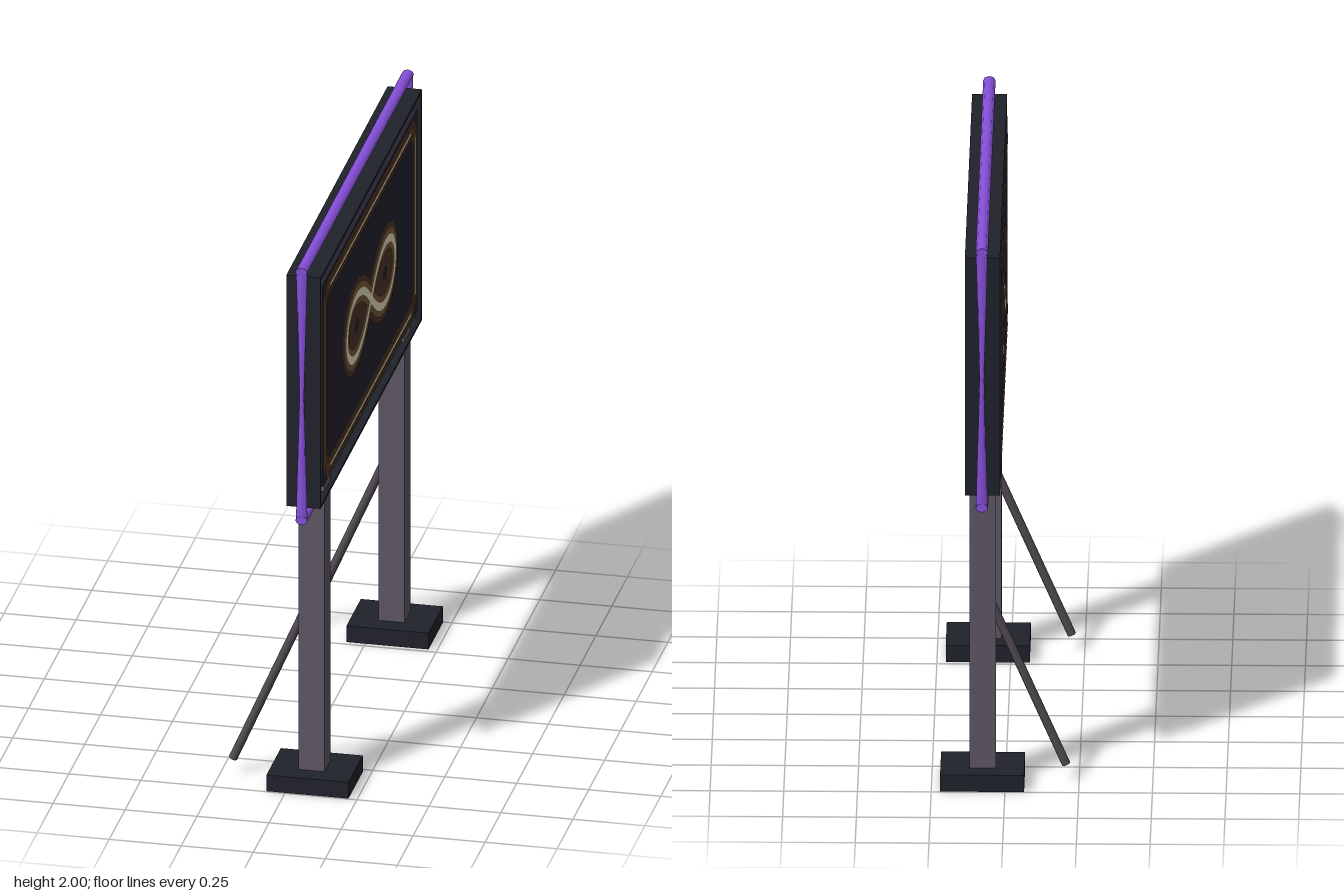
import * as THREE from 'three';

const mat = (name, color, side = THREE.FrontSide) => {
  const m = new THREE.MeshStandardMaterial({ color, side });
  m.name = name;
  return m;
};

export function createModel() {
  const D = THREE.DoubleSide;
  const casing = mat('charcoal casing', 0x20222b);
  const screenDark = mat('screen dark', 0x22212e);
  const steel = mat('post grey', 0x5d5762);
  const braceGrey = mat('brace grey', 0x514c53);
  const purple = mat('neon purple', 0x8650da);
  const brown = mat('glow brown', 0x4a3428, D);
  const amber = mat('border amber', 0x61401f, D);
  const gold = mat('glow gold', 0x7a5a34, D);
  const cream = mat('tube cream', 0xe6dcc0, D);

  const model = new THREE.Group();
  const add = (name, geo, material, parent = model) => {
    const m = new THREE.Mesh(geo, material);
    m.name = name;
    parent.add(m);
    return m;
  };
  // box given by its two corners
  const box = (name, material, x0, x1, y0, y1, z0, z1) =>
    add(name, new THREE.BoxGeometry(x1 - x0, y1 - y0, z1 - z0), material)
      .position.set((x0 + x1) / 2, (y0 + y1) / 2, (z0 + z1) / 2);

  const CX = 0.077, CY = 1.522;

  // legs: foot, post and rear brace
  for (const s of [1, -1]) {
    const z = 0.632 * s;
    box('foot', casing, -0.065, 0.22, 0, 0.06, z - 0.114, z + 0.114);
    box('post', steel, 0.032, 0.122, 0.06, 1.15, z - 0.045, z + 0.045);
    const a = new THREE.Vector3(0.055, 0.66, z), b = new THREE.Vector3(-0.206, 0.06, z);
    const brace = add('brace', new THREE.CylinderGeometry(0.015, 0.015, a.distanceTo(b), 8), braceGrey);
    brace.position.copy(a).add(b).multiplyScalar(0.5);
    brace.quaternion.setFromUnitVectors(new THREE.Vector3(0, 1, 0), a.clone().sub(b).normalize());
  }

  // casing: back slab, four thin walls, and the screen block within
  box('backSlab', casing, 0.016, 0.034, 1.092, 1.95, -0.8, 0.8);
  box('topWall', casing, 0.016, 0.135, 1.94, 1.95, -0.8, 0.8);
  box('bottomWall', casing, 0.016, 0.135, 1.092, 1.102, -0.8, 0.8);
  for (const s of [1, -1]) {
    box('sideWall', casing, 0.016, 0.135, 1.1, 1.942, 0.795 * s - 0.005, 0.795 * s + 0.005);
  }
  box('screenBlock', screenDark, 0.034, 0.13, 1.15, 1.895, -0.747, 0.747);

  // neon surround: oval rails, and uprights pinched at mid height
  for (const y of [1.984, 1.061]) {
    const geo = new THREE.CylinderGeometry(0.021, 0.021, 1.684, 8);
    geo.rotateX(Math.PI / 2).scale(1, 0.76, 1);
    add('neonRail', geo, purple).position.set(CX, y, 0);
  }
  for (const s of [1, -1]) {
    const geo = new THREE.CylinderGeometry(0.02, 0.02, 0.92, 8, 2);
    const p = geo.attributes.position;
    for (let i = 0; i < p.count; i++) {
      const mid = Math.abs(p.getY(i)) < 0.01;
      p.setX(i, p.getX(i) * (mid ? 0.4 : 1));
      p.setZ(i, p.getZ(i) * (mid ? 0.22 : 0.4));
    }
    geo.computeVertexNormals();
    add('neonUpright', geo, purple).position.set(CX, CY, 0.834 * s);
  }

  // rectangle with half sizes w, h and cut or rounded corners
  const panel = (Type, w, h, r, round) => {
    const s = new Type();
    const corner = (cx, cy, x, y) => (round ? s.quadraticCurveTo(cx, cy, x, y) : s.lineTo(x, y));
    s.moveTo(-w + r, -h);
    s.lineTo(w - r, -h); corner(w, -h, w, -h + r);
    s.lineTo(w, h - r); corner(w, h, w - r, h);
    s.lineTo(-w + r, h); corner(-w, h, -w, h - r);
    s.lineTo(-w, -h + r); corner(-w, -h, -w + r, -h);
    return s;
  };
  const ring = (w, h, r, w2, h2, r2, round) => {
    const s = panel(THREE.Shape, w, h, r, round);
    s.holes.push(panel(THREE.Path, w2, h2, r2, true));
    return new THREE.ShapeGeometry(s, 6);
  };

  // double loop centre line, and a flat ribbon along it
  const loop = (t) => {
    const d = 1 + Math.sin(t) ** 2;
    return new THREE.Vector2(0.38 * Math.cos(t) / d, 0.31 * Math.sin(t) * Math.cos(t) / d);
  };
  const ribbon = (half) => {
    const N = 96, pos = [], nor = [], idx = [];
    for (let i = 0; i <= N; i++) {
      const t = (i / N) * Math.PI * 2;
      const c = loop(t), d = loop(t + 0.001).sub(loop(t - 0.001)).normalize();
      for (const k of [half, -half]) {
        pos.push(c.x + d.y * k, c.y - d.x * k, 0);
        nor.push(0, 0, 1);
      }
      if (i < N) idx.push(2 * i, 2 * i + 2, 2 * i + 1, 2 * i + 1, 2 * i + 2, 2 * i + 3);
    }
    const g = new THREE.BufferGeometry();
    g.setAttribute('position', new THREE.Float32BufferAttribute(pos, 3));
    g.setAttribute('normal', new THREE.Float32BufferAttribute(nor, 3));
    g.setIndex(idx);
    // keep every triangle facing outward where the ribbon folds
    for (let i = 0; i < idx.length; i += 3) {
      const [a, b, c] = [idx[i] * 3, idx[i + 1] * 3, idx[i + 2] * 3];
      const area = (pos[b] - pos[a]) * (pos[c + 1] - pos[a + 1]) - (pos[c] - pos[a]) * (pos[b + 1] - pos[a + 1]);
      if (area < 0) [idx[i + 1], idx[i + 2]] = [idx[i + 2], idx[i + 1]];
    }
    g.setIndex(idx);
    return g;
  };

  // illuminated face, the same on both sides of the board
  const face = (name, x, turn) => {
    const g = new THREE.Group();
    g.name = name;
    g.position.set(x, CY, 0);
    g.rotation.y = turn;
    model.add(g);
    const layer = (n, geo, m, depth, px = 0, py = 0) =>
      add(n, geo, m, g).position.set(px, py, depth * 0.0012);

    layer('screen', new THREE.PlaneGeometry(1.494, 0.745), screenDark, 0);
    layer('borderGlow', ring(0.742, 0.372, 0.06, 0.678, 0.302, 0.05, false), brown, 1);
    layer('borderBand', ring(0.726, 0.351, 0.06, 0.694, 0.319, 0.05, false), amber, 2);
    for (const s of [1, -1]) {
      layer('borderTube', new THREE.PlaneGeometry(1.28, 0.013), cream, 3, 0, 0.335 * s);
      layer('borderTube', new THREE.PlaneGeometry(0.013, 0.59), cream, 3, 0.71 * s, 0);

      const lobe = [];
      for (let i = 0; i < 32; i++) lobe.push(loop(-Math.PI / 2 + (i / 32) * Math.PI).multiplyScalar(s));
      layer('lobeFill', new THREE.ShapeGeometry(new THREE.Shape(lobe)), brown, 1);
      const spot = new THREE.CircleGeometry(0.03, 16).scale(1, 0.7, 1);
      layer('lobeSpot', spot, screenDark, 2, 0.222 * s, 0);
    }
    layer('loopGlow', ribbon(0.057), brown, 1);
    layer('loopHalo', ribbon(0.037), gold, 3);
    layer('loopTube', ribbon(0.016), cream, 4);
  };
  face('rightFace', 0.1312, Math.PI / 2);
  face('backFace', 0.0148, -Math.PI / 2);

  return model;
}
